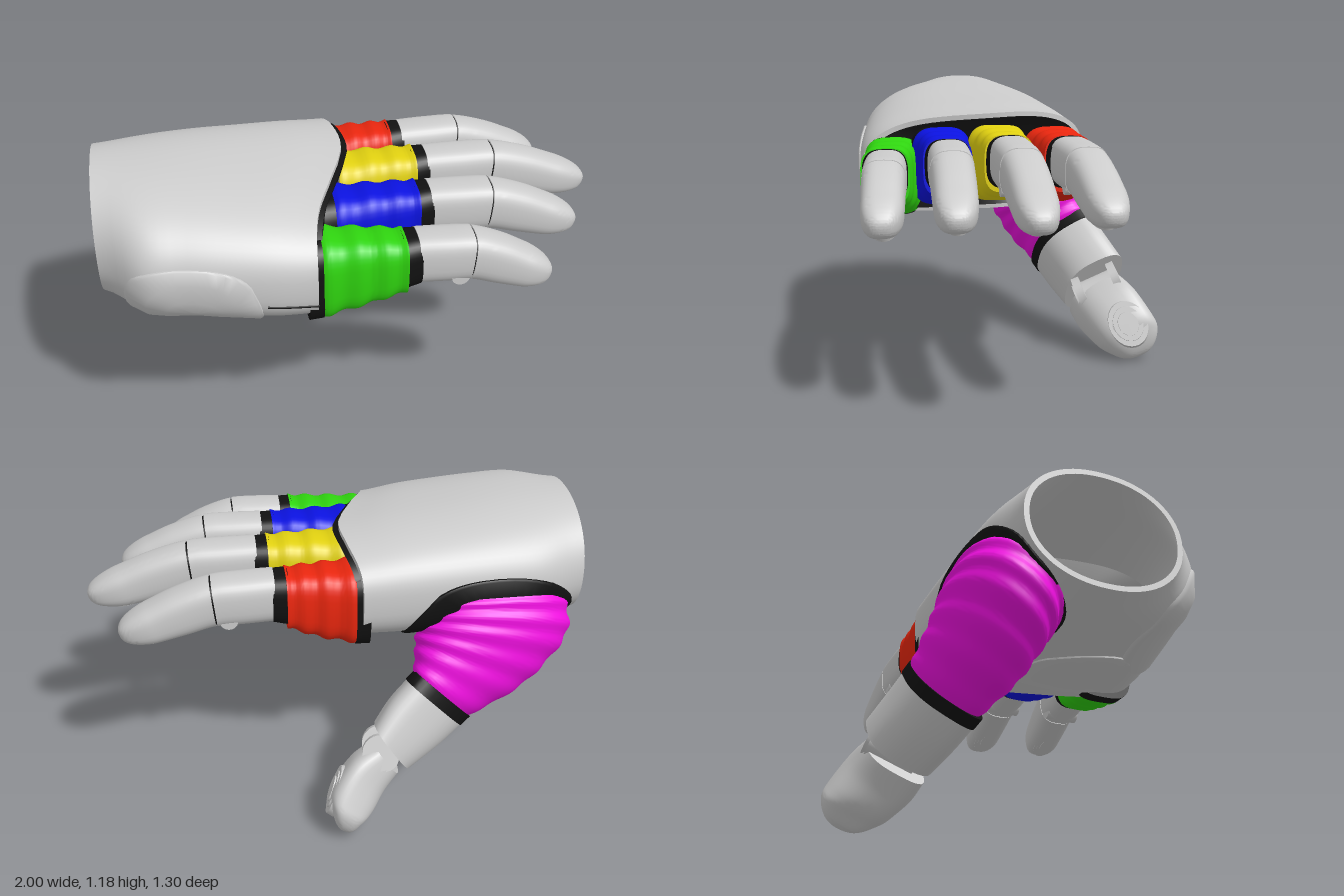
import * as THREE from 'three';
import { toCreasedNormals } from 'three/addons/utils/BufferGeometryUtils.js';

const V = (x, y, z) => new THREE.Vector3(x, y, z);
const mat = (color) => new THREE.MeshStandardMaterial({ color });
const GREY = mat(0xcccccc), BLACK = mat(0x111111), MAGENTA = mat(0xf010e0);

// Smooth interpolation through evenly spaced rows of numbers.
function sample(rows, s) {
  const f = Math.min(Math.max(s, 0), 1) * (rows.length - 1);
  const i = Math.min(Math.floor(f), rows.length - 2), t = f - i;
  const row = (k) => rows[Math.min(Math.max(k, 0), rows.length - 1)];
  const [a, b, c, d] = [row(i - 1), row(i), row(i + 1), row(i + 2)];
  return b.map((p, k) => p + 0.5 * t * (c[k] - a[k]
    + t * (2 * a[k] - 5 * p + 4 * c[k] - d[k] + t * (3 * (p - c[k]) + d[k] - a[k]))));
}

const bulge = (v, n) => Math.sign(v) * Math.abs(v) ** (2 / n);

// Skin rings of points, optionally closing both ends.
function skin(rings, caps = true, crease = 0.7) {
  const m = rings[0].length, pos = rings.flat().flatMap((p) => [p.x, p.y, p.z]), index = [];
  for (let i = 0; i < rings.length - 1; i++) for (let j = 0; j < m; j++) {
    const a = i * m + j, b = i * m + (j + 1) % m;
    index.push(a, b, a + m, b, b + m, a + m);
  }
  if (caps) [0, rings.length - 1].forEach((r, end) => {
    const c = rings[r].reduce((s, p) => s.add(p), V(0, 0, 0)).divideScalar(m);
    const k = pos.push(c.x, c.y, c.z) / 3 - 1;
    for (let j = 0; j < m; j++) {
      const a = r * m + j, b = r * m + (j + 1) % m;
      index.push(...(end ? [k, a, b] : [k, b, a]));
    }
  });
  const g = new THREE.BufferGeometry();
  g.setAttribute('position', new THREE.Float32BufferAttribute(pos, 3));
  g.setIndex(index);
  return toCreasedNormals(g, crease);
}

// Rounded tube through rows of [centre, half-axis u, half-axis v].
function loft(rows, { from = 0, to = 1, n = 2.7, steps = 20, scale = 1, ribs = 0, amp = 0.035, round = 2 } = {}) {
  const first = sample(rows, from), last = sample(rows, to);
  const travel = V(last[0] - first[0], last[1] - first[1], last[2] - first[2]);
  const turn = V(first[3], first[4], first[5]).cross(V(first[6], first[7], first[8])).dot(travel) < 0 ? -1 : 1;
  const rings = [];
  for (let i = 0; i <= steps; i++) {
    const k = i / steps, s = from + (to - from) * (round < 1 ? 1 - (1 - k) ** 2 : k);
    const r = sample(rows, s);
    let q = scale * (1 + amp * (ribs ? -Math.cos(2 * Math.PI * ribs * k) : 0));
    if (s > round) q *= Math.sqrt(Math.max(1e-5, 1 - ((s - round) / (1 - round)) ** 2));
    rings.push(Array.from({ length: 36 }, (_, j) => {
      const a = j / 36 * Math.PI * 2, c = q * bulge(Math.cos(a), n), d = q * turn * bulge(Math.sin(a), n);
      return V(r[0] + c * r[3] + d * r[6], r[1] + c * r[4] + d * r[7], r[2] + c * r[5] + d * r[8]);
    }));
  }
  return skin(rings);
}

// Palm surface: t runs from wrist to knuckles, a around from the top towards +z.
const palmRows = [ // centre z, half z, centre y, half y
  [0.105, 0.325, 0.92, 0.255], [0.145, 0.425, 0.905, 0.265], [0.147, 0.447, 0.9, 0.258],
  [0.15, 0.46, 0.89, 0.25], [0.15, 0.47, 0.878, 0.243], [0.145, 0.472, 0.87, 0.225]];
const frontEdge = [[-0.08], [-0.04], [-0.03], [-0.1], [-0.18], [-0.21]];
function palm(t, a, off = 0) {
  const [cz, hz, cy, hy] = sample(palmRows, t), n = 2.15 + 0.7 * t;
  const c = bulge(Math.cos(a), n), d = bulge(Math.sin(a), n);
  const z = cz + (hz + off) * d;
  const hollow = 0.045 * t * Math.max(0, -c) * (1 - d * d);
  const y = cy + (hy + off) * c - 0.045 * t * d + hollow;
  const edge = sample(frontEdge, (z + 0.33) / 0.95)[0];
  return V(-0.995 + t * (edge + 0.995), y, z);
}
const palmRing = (t, off) => Array.from({ length: 72 }, (_, j) => palm(t, j / 72 * Math.PI * 2, off));

// Slightly raised panel lying on the palm surface.
function palmPlate(tc, tr, ac, ar, n = 3) {
  const rings = [[1, -0.006], [0.985, 0.007], [0.95, 0.011], [0.7, 0.011], [0.4, 0.011], [0.1, 0.011]];
  return skin(rings.map(([r, off]) => Array.from({ length: 48 }, (_, j) => {
    const q = j / 48 * Math.PI * 2;
    return palm(tc + r * tr * bulge(Math.sin(q), n), ac + r * ar * bulge(Math.cos(q), n), off);
  })));
}

function add(parent, name, geometry, material = GREY) {
  const mesh = new THREE.Mesh(geometry, material);
  mesh.name = name;
  parent.add(mesh);
  return mesh;
}

// Stepped oval grip pad facing along normal, its long side along dir.
function addPad(parent, centre, normal, dir, a, b) {
  const pad = new THREE.Group(), y = normal.clone().normalize();
  const z = dir.clone().cross(y).normalize(), x = y.clone().cross(z);
  pad.name = 'gripPad';
  for (let i = 0; i < 3; i++) {
    const k = 1 - 0.24 * i;
    const g = new THREE.CylinderGeometry(0.93, 1, 1, 32).scale(a * k, 0.03, b * k).translate(0, -0.012 + 0.006 * i, 0);
    add(pad, 'padStep', g);
  }
  pad.applyMatrix4(new THREE.Matrix4().makeBasis(x, y, z).setPosition(centre));
  parent.add(pad);
}

function addPin(parent, name, centre, axis, radius, length) {
  const pin = add(parent, name, new THREE.CylinderGeometry(radius, radius, length, 24));
  pin.position.copy(centre);
  pin.quaternion.setFromUnitVectors(V(0, 1, 0), axis.clone().normalize());
}

function makeFinger(name, color, zBase, zMid, zTip, xBase, xStart, xTip, top, hBase) {
  const g = new THREE.Group(), L = xTip - xStart;
  g.name = name;
  // bellows at the knuckle, with dark collars on both sides
  const cuff = (x, z, drop, h, w) => [x, top - drop, z, 0, h, 0, 0, 0, w];
  const xe = xStart - 0.045;
  add(g, 'knuckleBellows', loft([cuff(xBase - 0.02, zBase, hBase + 0.005, hBase, 0.13),
    cuff((xBase + xe) / 2, (zBase + zMid) / 2, 0.147, 0.143, 0.106),
    cuff(xe, zMid, 0.118, 0.112, 0.096)], { n: 3.4, steps: 48, ribs: 3.5, amp: 0.035 }), mat(color));
  add(g, 'baseCollar', loft([cuff(xBase - 0.06, zBase, hBase + 0.005, hBase + 0.004, 0.133),
    cuff(xBase - 0.005, zBase, hBase + 0.005, hBase + 0.002, 0.129)], { n: 3.4, steps: 2 }), BLACK);
  add(g, 'tipCollar', loft([cuff(xe - 0.01, zMid, 0.112, 0.108, 0.094),
    cuff(xStart + 0.01, zMid, 0.104, 0.1, 0.086)], { n: 3, steps: 2 }), BLACK);
  // two rigid segments bending gently downwards
  const drop = [0.1, 0.1, 0.103, 0.135, 0.175, 0.21], h = [0.1, 0.1, 0.097, 0.09, 0.075, 0.06];
  const w = [0.085, 0.087, 0.085, 0.083, 0.08, 0.078], lean = [0, 0, 0.1, 0.25, 0.3, 0.3];
  const rows = drop.map((d, i) => [xStart + L * i / 5, top - d, zMid + (zTip - zMid) * i / 5,
    lean[i] * h[i], h[i], 0, 0, 0, w[i]]);
  add(g, 'innerSegment', loft(rows, { from: 0, to: 0.385, steps: 10, n: 3 }));
  add(g, 'jointCore', loft(rows, { from: 0.36, to: 0.42, steps: 2, scale: 0.94 }), BLACK);
  add(g, 'outerSegment', loft(rows, { from: 0.395, to: 1, steps: 40, n: 2.8, round: 0.78 }));
  const p = sample(rows, 0.3), q = sample(rows, 0.76);
  addPin(g, 'hingePin', V(p[0], p[1] - 0.064, p[2]), V(0, 0, 1), 0.035, 0.15);
  addPad(g, V(q[0] - q[3], q[1] - q[4] + 0.013, q[2]), V(-0.3, -1, 0), V(1, -0.3, 0), 0.1, 0.055);
  return g;
}

function makeThumb() {
  const g = new THREE.Group();
  g.name = 'thumb';
  // wide ribbed base
  const base = [
    [-0.63, 0.79, -0.14, 0.32, 0, 0, 0, 0.13, -0.185],
    [-0.635, 0.69, -0.195, 0.32, 0.06, 0, 0, 0.122, -0.178],
    [-0.545, 0.56, -0.248, 0.235, 0.12, 0, 0, 0.095, -0.158],
    [-0.41, 0.455, -0.31, 0.12, 0.122, 0, 0.02, 0.075, -0.125]];
  add(g, 'thumbBellows', loft(base, { steps: 80, n: 2.2, ribs: 6, amp: 0.02 }), MAGENTA);
  // inner segment and its collar
  const inner = [
    [-0.42, 0.46, -0.305, 0.12, 0.125, 0, 0.02, 0.075, -0.125],
    [-0.3, 0.375, -0.36, 0.11, 0.125, 0, 0.02, 0.07, -0.125],
    [-0.19, 0.3, -0.415, 0.075, 0.12, 0, 0.02, 0.06, -0.125]];
  add(g, 'thumbCollar', loft(inner, { to: 0.2, steps: 3, scale: 1.03 }), BLACK);
  add(g, 'thumbInnerSegment', loft(inner, { from: 0.12, steps: 12 }));
  // hinge with two lugs
  const axis = V(0.02, 0.06, -0.125).normalize();
  addPin(g, 'thumbHinge', V(-0.155, 0.275, -0.425), axis, 0.06, 0.2);
  for (const s of [-0.085, 0.085])
    addPin(g, 'hingeLug', V(-0.14, 0.3, -0.425).addScaledVector(axis, s), axis, 0.075, 0.035);
  // tip
  const tip = [
    [-0.17, 0.245, -0.42, 0.05, 0.08, 0, 0.02, 0.055, -0.11],
    [-0.09, 0.2, -0.455, 0.068, 0.09, 0, 0.02, 0.055, -0.12],
    [-0.018, 0.13, -0.51, 0.085, 0.068, 0, 0.015, 0.05, -0.122],
    [0.015, 0.075, -0.55, 0.07, 0.045, 0, 0.01, 0.045, -0.115],
    [0.03, 0.01, -0.58, 0.055, 0.03, 0, 0.01, 0.04, -0.1]];
  add(g, 'thumbTip', loft(tip, { steps: 40, round: 0.6, n: 2.9 }));
  addPad(g, V(0.063, 0.175, -0.515), V(0.93, 0.32, 0.2), V(0.3, -0.8, -0.4), 0.11, 0.09);
  return g;
}

export function createModel() {
  const hand = new THREE.Group();
  hand.name = 'mechanicalHand';

  // hollow palm shell, open at the wrist, and the dark body inside it
  const steps = Array.from({ length: 25 }, (_, i) => i / 24);
  const shell = [[0, -0.022], ...steps.map((t) => [t, 0]), ...steps.map((t) => [1 - t, -0.022])];
  add(hand, 'palmShell', skin(shell.map(([t, o]) => palmRing(t, o)), false));
  add(hand, 'palmCore', skin([0.55, 0.7, 0.85, 1, 1.025].map((t) => palmRing(t, -0.02))), BLACK);

  // raised panels, the dark border around the thumb and a seam
  add(hand, 'sidePlate', palmPlate(0.42, 0.32, 2.0, 0.68, 2.8));
  add(hand, 'palmPlate', palmPlate(0.72, 0.2, 2.85, 0.4, 2.2));
  add(hand, 'thumbBorder', palmPlate(0.41, 0.39, 4.1, 0.82, 2.4), BLACK);
  const seam = Array.from({ length: 8 }, (_, i) => palm(0.76 + 0.24 * i / 7, 1.75, 0));
  add(hand, 'sideSeam', new THREE.TubeGeometry(new THREE.CatmullRomCurve3(seam), 20, 0.005, 6), BLACK);

  hand.add(
    makeFinger('indexFinger', 0xe8260e, -0.188, -0.205, -0.235, -0.05, 0.26, 0.87, 1.04, 0.162),
    makeFinger('middleFinger', 0xe0d010, 0.05, 0.045, 0.045, -0.05, 0.31, 1.0, 1.055, 0.162),
    makeFinger('ringFinger', 0x0b12e0, 0.28, 0.285, 0.315, -0.1, 0.27, 0.87, 1.04, 0.165),
    makeFinger('littleFinger', 0x2fd40f, 0.475, 0.53, 0.57, -0.18, 0.17, 0.69, 0.99, 0.168),
    makeThumb());
  return hand;
}
